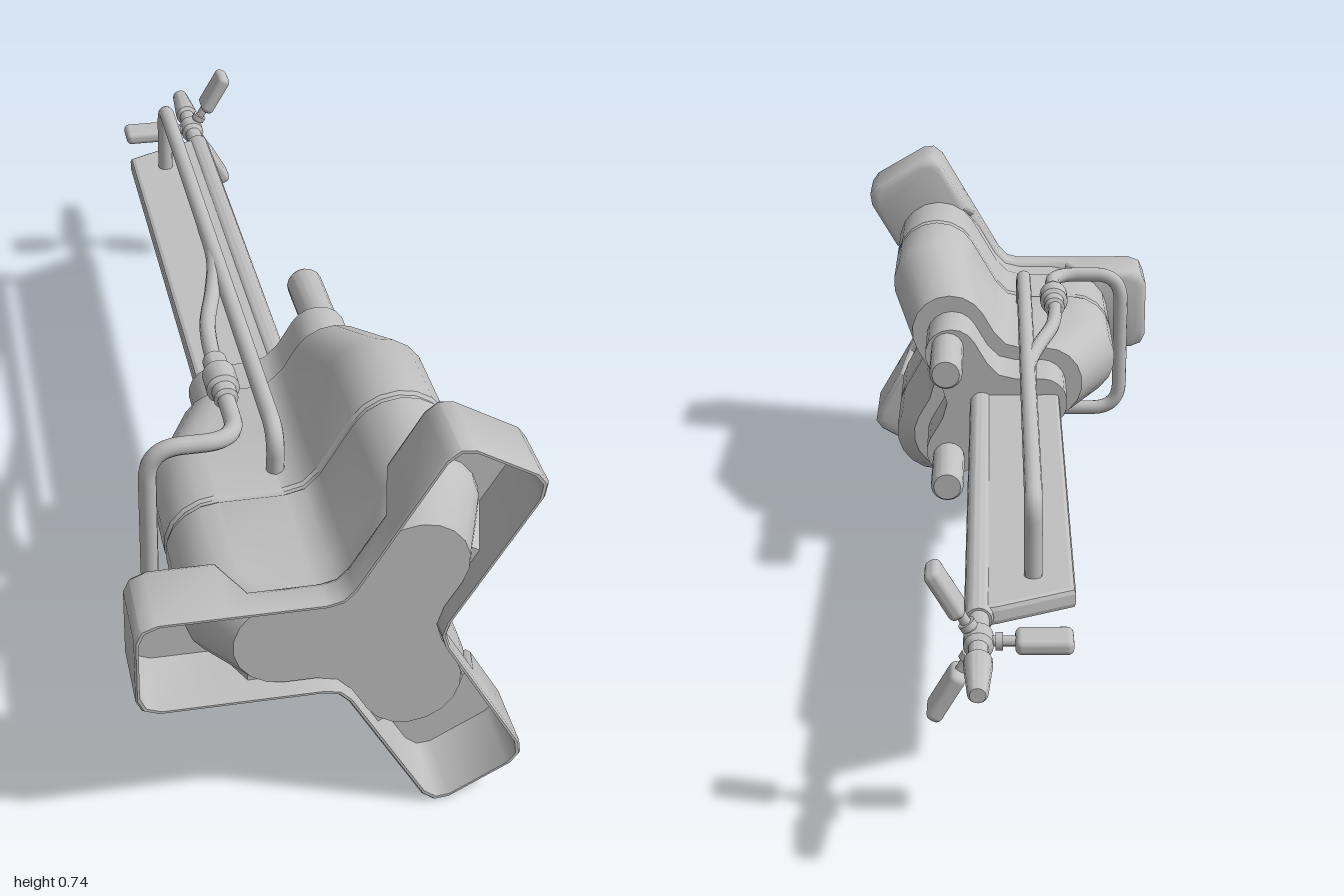
import * as THREE from 'three';
import { toCreasedNormals } from 'three/addons/utils/BufferGeometryUtils.js';
import { RoundedBoxGeometry } from 'three/addons/geometries/RoundedBoxGeometry.js';

const CX = 0.06, CY = 0.37; // axis of the three-lobed body
const ARMS = [Math.PI / 3, Math.PI, -Math.PI / 3];

// Closed three-armed outline. half = [distance, halfWidth] points from hub to tip.
function triLoop(half, w, fillet, zOf) {
  const loop = [];
  for (const a of ARMS) {
    const c = Math.cos(a), s = Math.sin(a);
    const add = (d, v) => loop.push(new THREE.Vector3(CX + d * c - v * s, CY + d * s + v * c, zOf(d)));
    half.forEach(([d, v]) => add(d, -v));
    [...half].reverse().forEach(([d, v]) => add(d, v));
    const r = w / Math.sin(Math.PI / 3) + fillet * 0.25, b = a + Math.PI / 3;
    loop.push(new THREE.Vector3(CX + r * Math.cos(b), CY + r * Math.sin(b), zOf(0)));
  }
  return loop;
}

// Skin between consecutive loops
function loft(loops) {
  const tris = [];
  for (let k = 0; k < loops.length - 1; k++) {
    const a = loops[k], b = loops[k + 1], n = a.length;
    for (let i = 0; i < n; i++) {
      const j = (i + 1) % n;
      tris.push(a[i], a[j], b[j], a[i], b[j], b[i]);
    }
  }
  return tris;
}

function flatCap(loop, front) {
  const faces = THREE.ShapeUtils.triangulateShape(loop.map(p => new THREE.Vector2(p.x, p.y)), []);
  return faces.flatMap(([a, b, c]) => (front ? [loop[a], loop[b], loop[c]] : [loop[a], loop[c], loop[b]]));
}

// Strips across each arm, following the loop's own depth
function armCap(loop, m, front) {
  const tris = [];
  for (let k = 0; k < 3; k++) {
    const o = k * (2 * m + 1);
    for (let i = 0; i < m - 1; i++) {
      const a = loop[o + i], b = loop[o + i + 1];
      const c = loop[o + 2 * m - 2 - i], d = loop[o + 2 * m - 1 - i];
      tris.push(...(front ? [a, b, c, a, c, d] : [a, c, b, a, d, c]));
    }
  }
  return tris;
}

function skin(tris, crease = 0.6) {
  return toCreasedNormals(new THREE.BufferGeometry().setFromPoints(tris), crease);
}

// Lobed section with rounded arm tips
function lobe(z, R, w) {
  const fillet = Math.min(0.04, (R - w) * 0.4);
  const half = [[w / Math.tan(Math.PI / 3) + fillet, w]];
  for (let i = 0; i <= 4; i++) {
    const t = Math.PI / 2 * (1 - i / 4.5);
    half.push([R - w + w * Math.cos(t), w * Math.sin(t)]);
  }
  return triLoop(half, w, fillet, () => z);
}

// Straight runs joined by rounded corners
function roundedPath(pts, r) {
  const v = pts.map(p => new THREE.Vector3(...p));
  const path = new THREE.CurvePath();
  let from = v[0];
  for (let i = 1; i < v.length - 1; i++) {
    const p = v[i].clone().add(v[i - 1].clone().sub(v[i]).setLength(r));
    const q = v[i].clone().add(v[i + 1].clone().sub(v[i]).setLength(r));
    path.add(new THREE.LineCurve3(from, p));
    path.add(new THREE.QuadraticBezierCurve3(p, v[i], q));
    from = q;
  }
  path.add(new THREE.LineCurve3(from, v[v.length - 1]));
  return path;
}

// Turned part along z from [radius, z] points, listed from back to front
function turned(profile, sides = 16) {
  const g = new THREE.LatheGeometry(profile.map(([r, z]) => new THREE.Vector2(r, z)), sides);
  return toCreasedNormals(g.rotateX(Math.PI / 2), 0.6);
}

export function createModel() {
  const model = new THREE.Group();
  const grey = new THREE.MeshStandardMaterial({ color: 0xc0c0c0 });
  grey.name = 'light grey metal';
  const add = (name, geometry, x = 0, y = 0, z = 0, parent = model) => {
    const mesh = new THREE.Mesh(geometry, grey);
    mesh.name = name;
    mesh.position.set(x, y, z);
    parent.add(mesh);
    return mesh;
  };

  // Housing with a groove, tapered shoulder and stepped rear
  const sections = [
    [0.25, 0.182, 0.055], [0.37, 0.182, 0.055], [0.37, 0.218, 0.0815],
    [0.53, 0.297, 0.0925], [0.69, 0.297, 0.0925], [0.696, 0.292, 0.0885],
    [0.704, 0.292, 0.0885], [0.71, 0.297, 0.0925], [0.86, 0.297, 0.0925],
    [0.89, 0.292, 0.087], [0.97, 0.228, 0.085],
  ].map(s => lobe(...s));
  add('housing', skin([...loft(sections), ...flatCap(sections[0], false),
    ...flatCap(sections[sections.length - 1], true)]));

  // Front tray: thin walls, deep at the arm ends and shallow near the hub
  const depth = d => 0.94 - 0.08 * THREE.MathUtils.clamp((d - 0.2) / 0.04, 0, 1);
  const trayLoop = (inset, zOf) => {
    const w = 0.095 - inset, R = 0.39 - inset;
    return triLoop([[w / Math.tan(Math.PI / 3) + 0.03, w], [0.2, w], [0.24, w], [R - 0.035, w],
      [R - 0.01, w - 0.01], [R, w - 0.032]], w, 0.03, zOf);
  };
  const tray = [
    trayLoop(0.015, depth), trayLoop(0.005, d => depth(d) + 0.004), trayLoop(0, d => depth(d) + 0.014),
    trayLoop(0, () => 0.995), trayLoop(0.003, () => 1), trayLoop(0.007, () => 1),
    trayLoop(0.007, d => depth(d) + 0.012),
  ];
  add('frontTray', skin([...loft(tray), ...armCap(tray[0], 6, false), ...armCap(tray[6], 6, true)], 0.8));

  // Rear pins on the two right-hand lobes
  for (const a of [ARMS[0], ARMS[2]]) {
    add('rearPin', turned([[0, 0.09], [0.028, 0.09], [0.034, 0.1], [0.034, 0.3]]),
      CX + 0.143 * Math.cos(a), CY + 0.143 * Math.sin(a));
  }

  // Long bar: bevelled plate beside a round spine
  const plate = new THREE.Shape([[-0.096, -0.4], [0.06, -0.4], [0.06, 0.733], [0.03, 0.722], [-0.096, 0.663]]
    .map(p => new THREE.Vector2(...p)));
  const plateGeometry = new THREE.ExtrudeGeometry(plate, {
    depth: 0.018, bevelEnabled: true, bevelThickness: 0.01, bevelSize: 0.009, bevelSegments: 2,
  });
  add('barPlate', plateGeometry.rotateX(-Math.PI / 2), 0, CY - 0.009, 0);
  add('barSpine', turned([[0, -0.745], [0.022, -0.745], [0.025, -0.74], [0.025, 0.3]]), CX, CY);

  // Tip rod and nozzle
  add('tipRod', turned([[0, -1], [0.013, -1], [0.017, -0.993], [0.024, -0.905], [0.024, -0.892], [0.017, -0.885],
    [0.017, -0.848], [0.025, -0.838], [0.025, -0.802], [0.018, -0.792], [0.018, -0.74]]), CX, CY);

  // Three vanes around the tip
  for (const a of ARMS) {
    const vane = new THREE.Group();
    vane.name = 'vane';
    vane.position.set(CX, CY, -0.82);
    vane.rotation.z = a;
    model.add(vane);
    add('vaneStem', new THREE.CylinderGeometry(0.009, 0.009, 0.08, 10).rotateZ(Math.PI / 2), 0.035, 0, 0, vane);
    add('vaneCollar', new THREE.CylinderGeometry(0.015, 0.015, 0.012, 12).rotateZ(Math.PI / 2), 0.034, 0, 0, vane);
    add('vaneBlade', new RoundedBoxGeometry(0.096, 0.028, 0.062, 3, 0.011), 0.108, 0, 0, vane);
  }

  // Straight pipe running above the bar
  add('upperPipe', new THREE.TubeGeometry(roundedPath([
    [-0.033, 0.37, -0.615], [-0.033, 0.537, -0.615], [-0.033, 0.537, 0.635], [-0.033, 0.42, 0.635],
  ], 0.045), 160, 0.016, 12));

  // Hose branching off the pipe toward the coupling
  add('hose', new THREE.TubeGeometry(new THREE.CatmullRomCurve3([
    [-0.034, 0.535, -0.08], [-0.038, 0.535, 0.05], [-0.06, 0.535, 0.16],
    [-0.088, 0.535, 0.27], [-0.097, 0.535, 0.36], [-0.097, 0.535, 0.46],
  ].map(p => new THREE.Vector3(...p))), 40, 0.015, 12));
  add('coupling', turned([[0.014, 0.39], [0.022, 0.395], [0.022, 0.43], [0.03, 0.437], [0.03, 0.485],
    [0.022, 0.492], [0.022, 0.515], [0.014, 0.52]]), -0.097, 0.535);

  // Loop pipe wrapping around the left lobe
  add('loopPipe', new THREE.TubeGeometry(roundedPath([
    [-0.097, 0.533, 0.48], [-0.097, 0.533, 0.635], [-0.255, 0.533, 0.635],
    [-0.255, 0.21, 0.635], [-0.035, 0.21, 0.635], [-0.035, 0.33, 0.635],
  ], 0.062), 140, 0.016, 12));

  return model;
}
